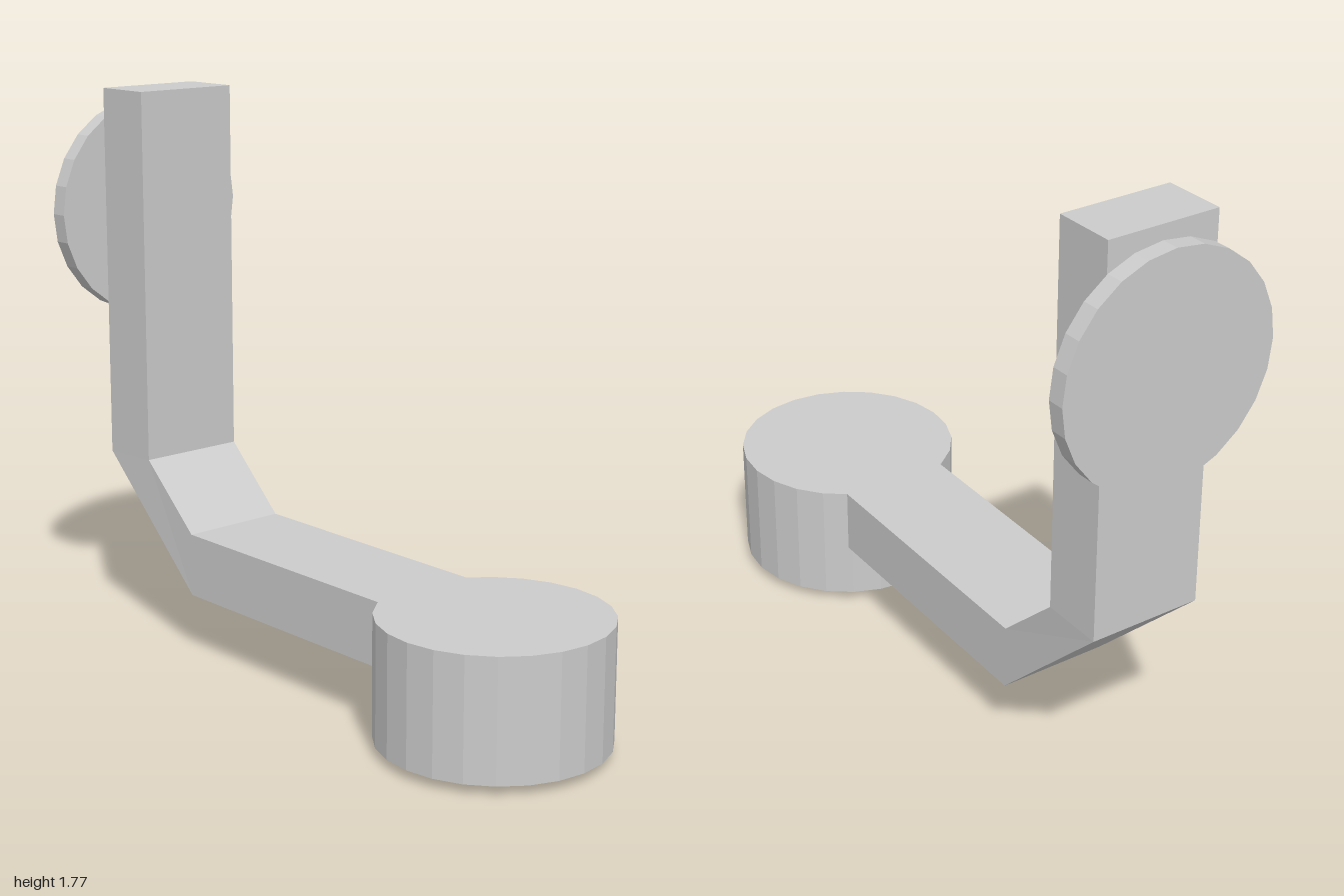
import * as THREE from 'three';

const SIDES = 24;

export function createModel() {
  const group = new THREE.Group();
  const material = new THREE.MeshStandardMaterial({ color: 0xcccccc, flatShading: true });

  const add = (name, geometry, x, y, z) => {
    const mesh = new THREE.Mesh(geometry, material);
    mesh.name = name;
    mesh.position.set(x, y, z);
    group.add(mesh);
    return mesh;
  };

  // Round head with a shallow chamfered underside
  const profile = [[0, 0], [0.215, 0], [0.345, 0.03], [0.345, 0.4], [0, 0.4]];
  add('head', new THREE.LatheGeometry(profile.map(p => new THREE.Vector2(...p)), SIDES), -0.023, 0, 0.655);

  // Bent arm: rectangular sections from the head, round the elbow, up the post
  // [left x, right x, inner y, inner z, outer y, outer z]
  const sections = [
    [-0.19, 0.16, 0.4, 0.37, 0.2, 0.37],
    [-0.165, 0.185, 0.4, -0.53, 0.2, -0.53],
    [-0.16, 0.195, 0.6, -0.75, 0.595, -0.945],
    [-0.16, 0.195, 1.775, -0.75, 1.775, -0.945],
  ];
  const rings = sections.map(([l, r, iy, iz, oy, oz]) =>
    [[l, iy, iz], [r, iy, iz], [r, oy, oz], [l, oy, oz]]);
  const positions = [];
  const quad = (a, b, c, d) => positions.push(...a, ...b, ...c, ...a, ...c, ...d);
  for (let i = 0; i < rings.length - 1; i++) {
    const a = rings[i], b = rings[i + 1];
    for (let k = 0; k < 4; k++) {
      const n = (k + 1) % 4;
      quad(a[k], a[n], b[n], b[k]);
    }
  }
  quad(...[...rings[0]].reverse());
  quad(...rings[rings.length - 1]);
  const arm = new THREE.BufferGeometry();
  arm.setAttribute('position', new THREE.Float32BufferAttribute(positions, 3));
  arm.computeVertexNormals();
  add('bentArm', arm, 0, 0, 0);

  // Thin mounting disc on the back of the post
  const disc = add('mountingDisc', new THREE.CylinderGeometry(0.345, 0.345, 0.055, SIDES), 0.02, 1.385, -0.9725);
  disc.rotation.x = Math.PI / 2;

  return group;
}
